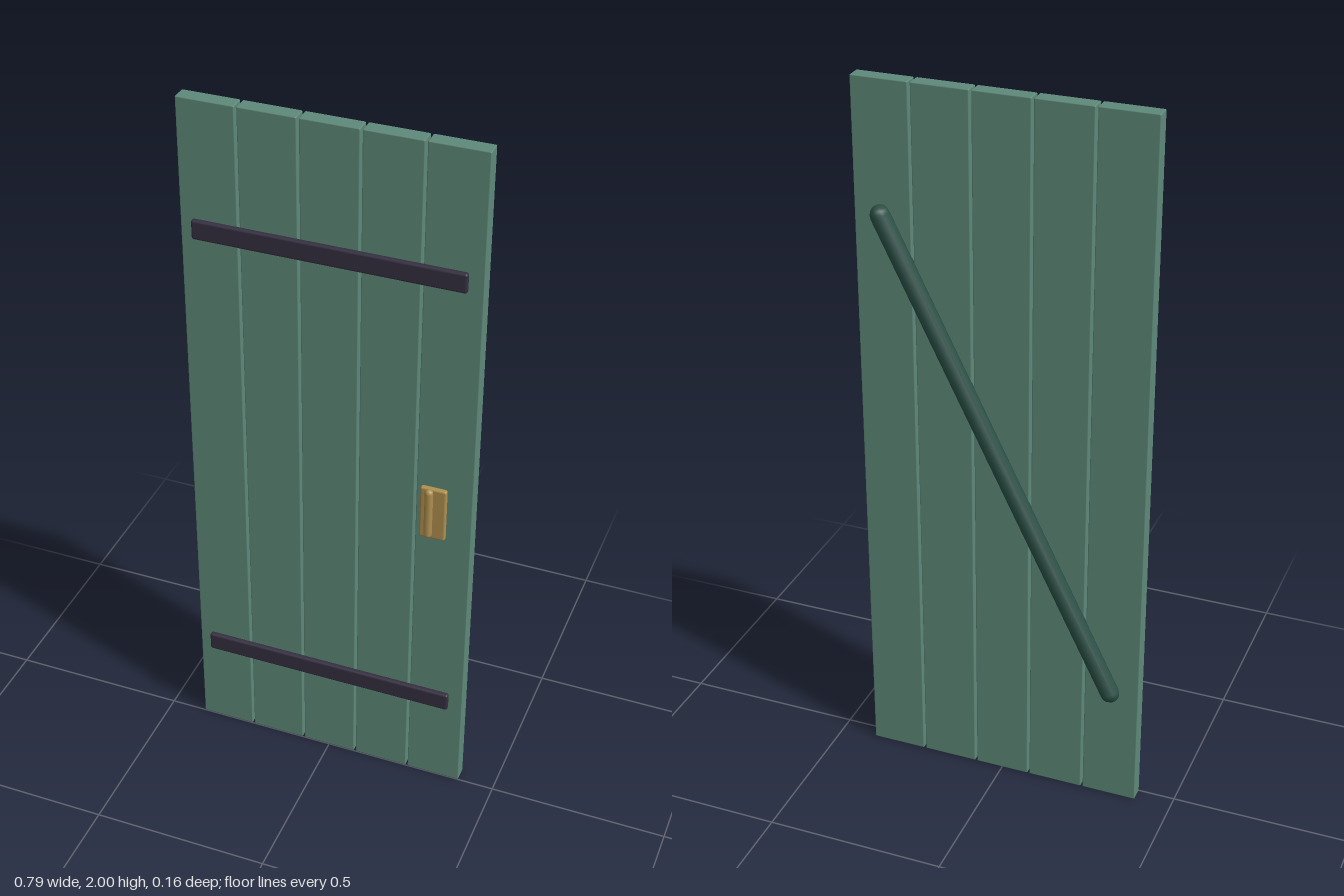
import * as THREE from 'three';
import { RoundedBoxGeometry } from 'three/addons/geometries/RoundedBoxGeometry.js';

const paint = (color) => new THREE.MeshStandardMaterial({ color });

export function createModel() {
  const door = new THREE.Group();
  door.name = 'plankDoor';

  const green = paint(0x5f8a7a);
  const darkGreen = paint(0x2a4f45);
  const iron = paint(0x352f40);
  const brass = paint(0xb0904f);

  const add = (name, geometry, material, x, y, z) => {
    const mesh = new THREE.Mesh(geometry, material);
    mesh.name = name;
    mesh.position.set(x, y, z);
    door.add(mesh);
    return mesh;
  };

  // Five upright planks with narrow gaps
  const plank = new RoundedBoxGeometry(0.154, 2, 0.042, 2, 0.003);
  for (let i = -2; i <= 2; i++) {
    add(`plank${i + 3}`, plank, green, i * 0.16, 1, -0.021);
  }

  // Iron straps across the front
  const strap = new RoundedBoxGeometry(0.72, 0.054, 0.017, 2, 0.006);
  add('lowerStrap', strap, iron, 0, 0.302, 0.0135);
  add('upperStrap', strap, iron, 0, 1.654, 0.0135);

  // Round diagonal brace on the back
  const from = new THREE.Vector2(-0.32, 0.355);
  const to = new THREE.Vector2(0.32, 1.65);
  const brace = add(
    'diagonalBrace',
    new THREE.CapsuleGeometry(0.027, from.distanceTo(to), 4, 8),
    darkGreen, 0, (from.y + to.y) / 2, -0.056
  );
  brace.rotation.z = -Math.atan2(to.x - from.x, to.y - from.y);

  // Latch plate with a free-standing upright grip
  add('latchPlate', new RoundedBoxGeometry(0.072, 0.16, 0.016, 2, 0.006), brass, 0.297, 0.952, 0.019);
  add('handle', new THREE.CapsuleGeometry(0.0115, 0.13, 4, 8), brass, 0.3, 0.987, 0.07);

  return door;
}
